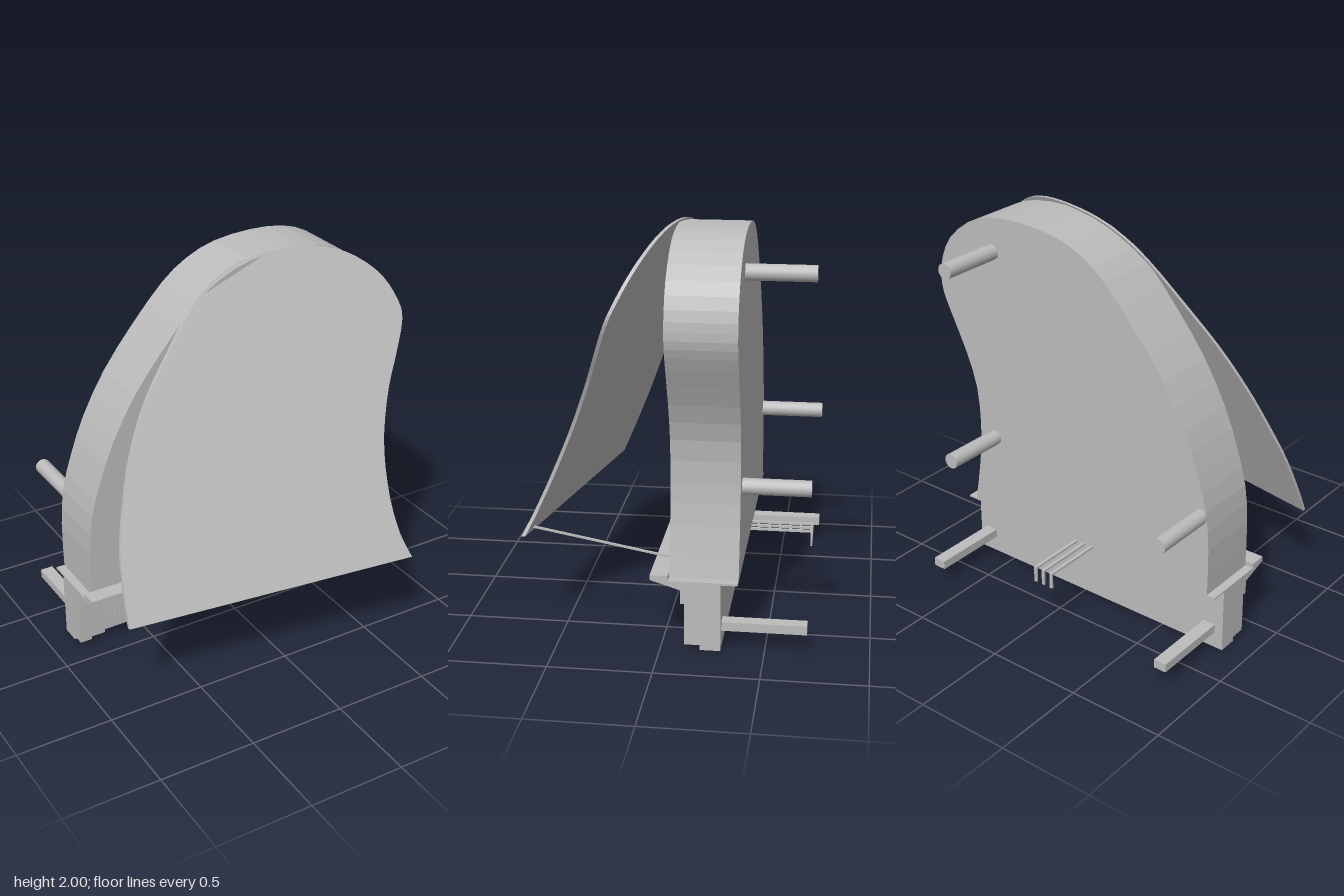
import * as THREE from 'three';

const gray = new THREE.MeshStandardMaterial({ color: 0xbcbcbc });
gray.name = 'plain gray';

const vec2 = (list) => list.map(([x, y]) => new THREE.Vector2(x, y));

// Closed outline: a smooth curve through the points, with a straight bottom edge.
function curvedShape(points, divisions) {
  return new THREE.Shape(new THREE.SplineCurve(vec2(points)).getPoints(divisions));
}

function extrude(shape, depth) {
  return new THREE.ExtrudeGeometry(shape, { depth, bevelEnabled: false });
}

export function createModel() {
  const model = new THREE.Group();
  model.name = 'grandPiano';

  const add = (name, geometry, parent = model) => {
    const mesh = new THREE.Mesh(geometry, gray);
    mesh.name = name;
    parent.add(mesh);
    return mesh;
  };
  // Box given by its limits on each axis
  const box = (name, [x0, x1], [y0, y1], [z0, z1], parent) => {
    const mesh = add(name, new THREE.BoxGeometry(x1 - x0, y1 - y0, z1 - z0), parent);
    mesh.position.set((x0 + x1) / 2, (y0 + y1) / 2, (z0 + z1) / 2);
    return mesh;
  };
  const group = (name) => {
    const g = new THREE.Group();
    g.name = name;
    model.add(g);
    return g;
  };

  // Curved body
  const bodyOutline = [
    [-0.82, 0.35], [-0.82, 0.6], [-0.8, 0.8], [-0.745, 0.99], [-0.665, 1.19], [-0.54, 1.41],
    [-0.375, 1.62], [-0.2, 1.81], [-0.06, 1.91], [0.1, 1.97], [0.31, 1.99], [0.5, 1.975],
    [0.65, 1.92], [0.78, 1.81], [0.84, 1.69], [0.855, 1.59], [0.845, 1.51], [0.8, 1.405],
    [0.706, 1.21], [0.643, 1.024], [0.627, 0.81], [0.643, 0.6], [0.685, 0.35],
  ];
  add('body', extrude(curvedShape(bodyOutline, 44), 0.333)).position.z = -0.37;

  // Raised lid: the outline is sheared onto a sloping plane
  const lidOutline = [
    [-0.86, 0.455], [-0.85, 0.6], [-0.82, 0.8], [-0.76, 0.99], [-0.68, 1.19], [-0.555, 1.41],
    [-0.385, 1.62], [-0.205, 1.82], [-0.066, 1.92], [0.1, 1.98], [0.31, 2], [0.495, 1.984],
    [0.65, 1.926], [0.775, 1.82], [0.838, 1.69], [0.838, 1.6], [0.775, 1.46], [0.685, 1.28],
    [0.61, 1.05], [0.585, 0.81], [0.6, 0.626], [0.64, 0.5],
  ];
  const lidGeometry = extrude(curvedShape(lidOutline, 66), 0.018);
  const p = lidGeometry.attributes.position;
  for (let i = 0; i < p.count; i++) {
    p.setZ(i, p.getZ(i) + 0.782 + 0.17 * p.getX(i) - 0.438 * p.getY(i));
  }
  lidGeometry.computeVertexNormals();
  add('lid', lidGeometry);

  // Prop stick holding the lid
  const from = new THREE.Vector3(0.585, 0.41, -0.04);
  const to = new THREE.Vector3(0.548, 0.52, 0.66);
  const prop = add('propStick', new THREE.BoxGeometry(0.01, 0.01, from.distanceTo(to)));
  prop.position.copy(from).lerp(to, 0.5);
  prop.lookAt(to);

  // Keyboard case: a (z, y) section carried across the width
  const section = new THREE.Shape(vec2([
    [0.05, 0.35], [0.05, 0.375], [-0.037, 0.375], [-0.037, 0.35], [-0.37, 0.35], [-0.37, 0.34],
    [-0.29, 0.34], [-0.29, 0], [-0.19, 0], [-0.19, 0.235], [-0.095, 0.235], [-0.095, 0.305],
  ]));
  const keyboardCase = add('keyboardCase', extrude(section, 1.6));
  keyboardCase.rotation.y = -Math.PI / 2;
  keyboardCase.position.x = 0.735;

  // Arms and key blocks at both ends of the keys
  for (const [x0, x1] of [[-0.865, -0.8], [0.67, 0.735]]) {
    box('caseArm', [x0, x1], [0.025, 0.235], [-0.19, -0.115]);
  }
  for (const [x0, x1] of [[-0.8, -0.715], [0.605, 0.67]]) {
    box('keyBlock', [x0, x1], [0.025, 0.235], [-0.19, -0.135]);
  }

  // 52 white keys, with black keys in the usual groups of two and three
  const keys = group('keys');
  const pitch = 1.32 / 52;
  for (let i = 0; i < 52; i++) {
    const x = -0.715 + i * pitch;
    box('whiteKey', [x + 0.001, x + pitch - 0.001], [0.03, 0.235], [-0.19, -0.16], keys);
    // Starting on A: no black key after B or E
    if (i < 51 && ![1, 4].includes(i % 7)) {
      box('blackKey', [x + pitch - 0.007, x + pitch + 0.007], [0.105, 0.235], [-0.165, -0.142], keys);
    }
  }

  // Round legs under the body
  for (const [x, y] of [[0.5, 1.8], [0.53, 0.77], [-0.765, 0.77]]) {
    const leg = add('roundLeg', new THREE.CylinderGeometry(0.04, 0.04, 0.34, 16));
    leg.rotation.x = Math.PI / 2;
    leg.position.set(x, y, -0.53);
  }

  // Square legs under the keyboard
  for (const x of [-0.785, 0.66]) {
    box('squareLeg', [x - 0.034, x + 0.034], [0.088, 0.133], [-0.7, -0.28]);
  }

  // Three pedals on long rods with bent tips
  const pedals = group('pedals');
  for (const x of [-0.105, -0.055, -0.006]) {
    const width = [x - 0.008, x + 0.008];
    box('pedalRod', width, [0.338, 0.349], [-0.69, -0.29], pedals);
    box('pedalTip', width, [0.265, 0.338], [-0.69, -0.68], pedals);
  }

  return model;
}
